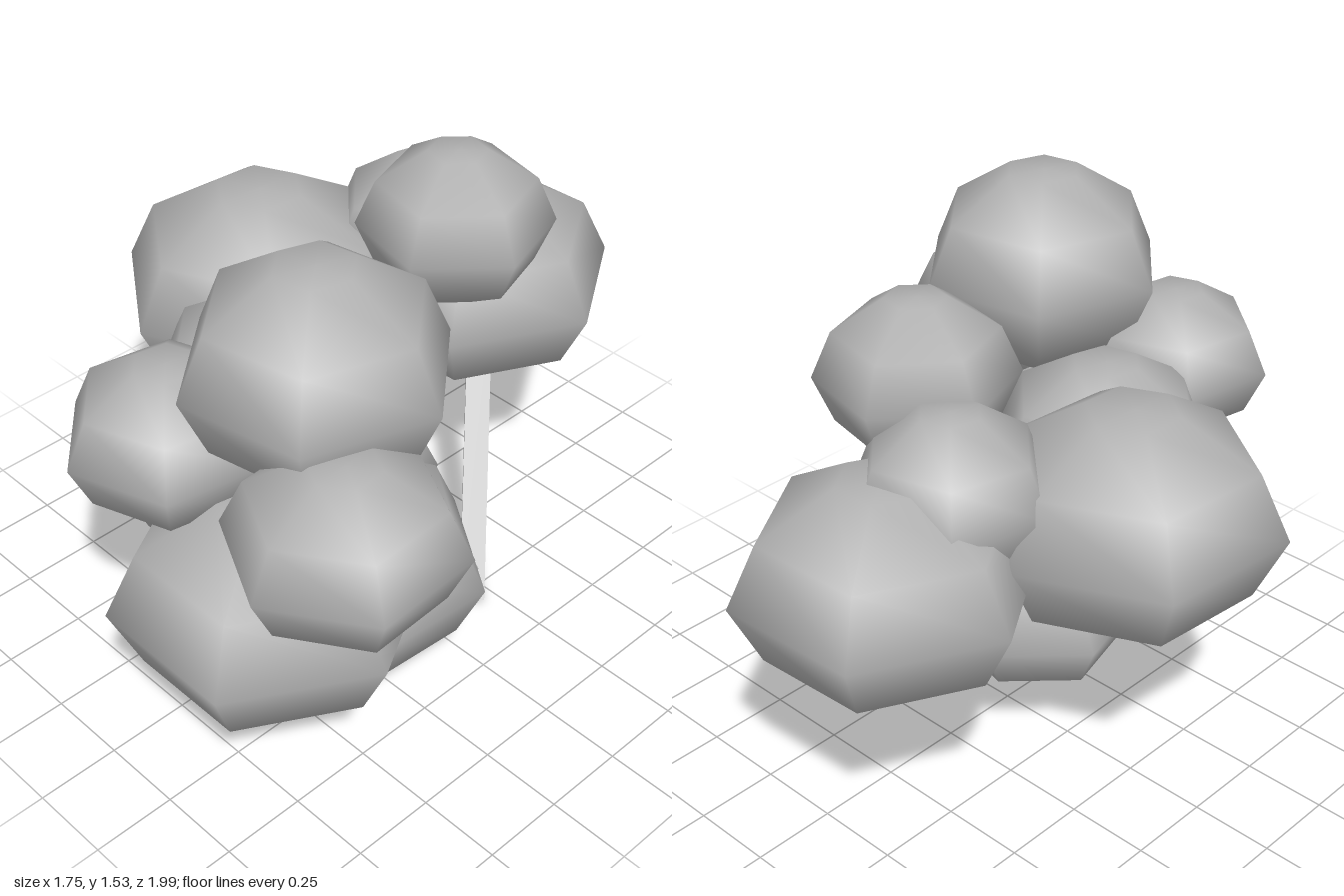
import * as THREE from 'three';

export function createModel() {
  const group = new THREE.Group();
  group.name = 'shrub';
  const grey = new THREE.MeshStandardMaterial({ color: 0xb0b0b0 });
  grey.name = 'plain grey';

  // Six-sided rounded clump, flattened at both poles
  const half = [[0.3, 0.99], [0.8, 0.58], [1, 0]];
  const profile = [
    [0, -1], ...half.slice(0, 2).map(([r, y]) => [r, -y]),
    ...half.slice().reverse(), [0, 1],
  ].map(([r, y]) => new THREE.Vector2(r, y));

  // name, x, y, z, radius, half height, turn in degrees
  const clumps = [
    ['backClump', -0.15, 0.83, -0.62, 0.43, 0.31, 33],
    ['backMiddleClump', -0.205, 1.03, -0.43, 0.29, 0.25, 45],
    ['backTopClump', 0.055, 1.24, -0.295, 0.285, 0.23, 18],
    ['rightClump', -0.48, 0.905, -0.03, 0.44, 0.325, -5],
    ['frontTopClump', 0.287, 1.24, 0.453, 0.378, 0.305, 41],
    ['leftClump', 0.585, 0.96, 0.64, 0.325, 0.24, 3],
    ['frontMiddleClump', -0.045, 0.96, 0.68, 0.3, 0.23, -11],
    ['frontLowerClump', 0.245, 0.545, 0.6, 0.45, 0.33, 30],
    ['bottomClump', 0.15, 0.34, 0.21, 0.41, 0.31, -4],
    ['bottomRightClump', -0.12, 0.42, 0.0, 0.3, 0.22, 15],
    ['innerLowerClump', -0.04, 0.71, 0.46, 0.33, 0.26, 30],
    ['innerUpperClump', -0.13, 0.88, 0.27, 0.34, 0.25, -16],
  ];
  for (const [name, x, y, z, r, h, turn] of clumps) {
    const clump = new THREE.Mesh(new THREE.LatheGeometry(profile, 6), grey);
    clump.name = name;
    clump.position.set(x, y, z);
    clump.scale.set(r, h, r);
    clump.rotation.y = THREE.MathUtils.degToRad(turn);
    group.add(clump);
  }

  // Square stems running between two points
  const stem = (name, from, to, size) => {
    const a = new THREE.Vector3(...from);
    const b = new THREE.Vector3(...to);
    const mesh = new THREE.Mesh(new THREE.BoxGeometry(size, size, a.distanceTo(b)), grey);
    mesh.name = name;
    mesh.position.copy(a).add(b).multiplyScalar(0.5);
    mesh.lookAt(b);
    group.add(mesh);
  };
  stem('trunk', [0.3, 0.035, -0.16], [-0.13, 0.74, -0.62], 0.075);
  stem('branch', [0.3, 0.17, -0.14], [0.15, 0.34, 0.21], 0.075);

  return group;
}
